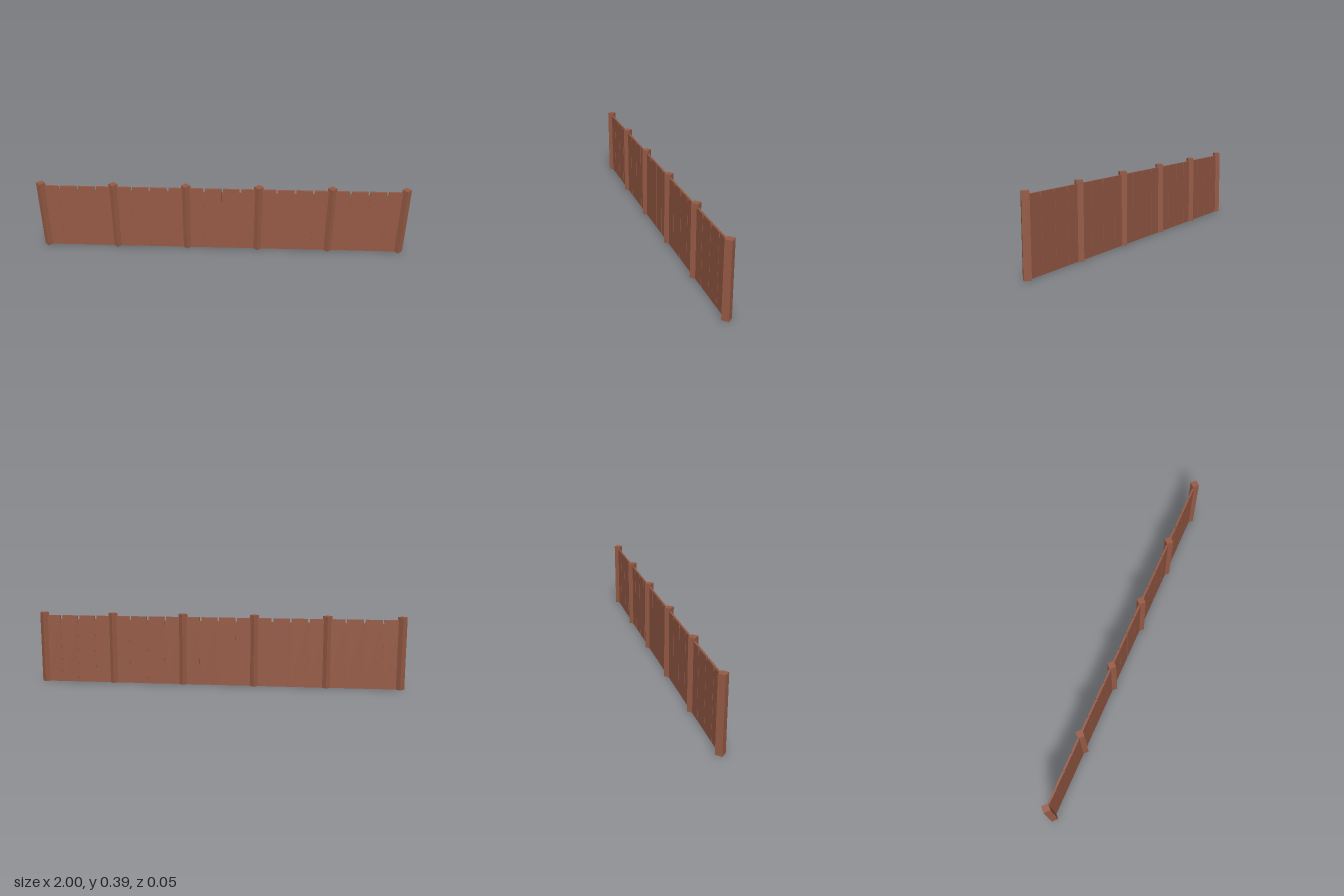
import * as THREE from 'three';

const BAYS = 5, PLANKS = 4;
const POST_R = 0.025, POST_H = 0.39;
const PLANK_H = 0.373, SEAM_H = 0.353, SEAM_W = 0.01;
const THICK = 0.01;
const SPACING = (2 - 2 * POST_R) / BAYS;
const PITCH = SPACING / PLANKS;

export function createModel() {
  const fence = new THREE.Group();
  fence.name = 'fence';
  const wood = new THREE.MeshStandardMaterial({ color: 0x965a45, flatShading: true });

  // Adds a part standing on the ground at x
  const stand = (name, geometry, height, x, parent) => {
    const mesh = new THREE.Mesh(geometry, wood);
    mesh.name = name;
    mesh.position.set(x, height / 2, 0);
    parent.add(mesh);
  };

  // Square posts turned corner-on
  const postGeo = new THREE.CylinderGeometry(POST_R, POST_R, POST_H, 4);
  for (let i = 0; i <= BAYS; i++) {
    stand('post', postGeo, POST_H, (i - BAYS / 2) * SPACING, fence);
  }

  // Panels of planks, joined by lower, slightly recessed strips
  const plankGeo = new THREE.BoxGeometry(PITCH - SEAM_W, PLANK_H, THICK);
  const seamGeo = new THREE.BoxGeometry(SEAM_W, SEAM_H, THICK * 0.8);
  for (let b = 0; b < BAYS; b++) {
    const panel = new THREE.Group();
    panel.name = 'panel';
    panel.position.x = (b - (BAYS - 1) / 2) * SPACING;
    for (let p = 0; p < PLANKS; p++) {
      stand('plank', plankGeo, PLANK_H, (p - (PLANKS - 1) / 2) * PITCH, panel);
      if (p > 0) stand('seam', seamGeo, SEAM_H, (p - PLANKS / 2) * PITCH, panel);
    }
    fence.add(panel);
  }
  return fence;
}
